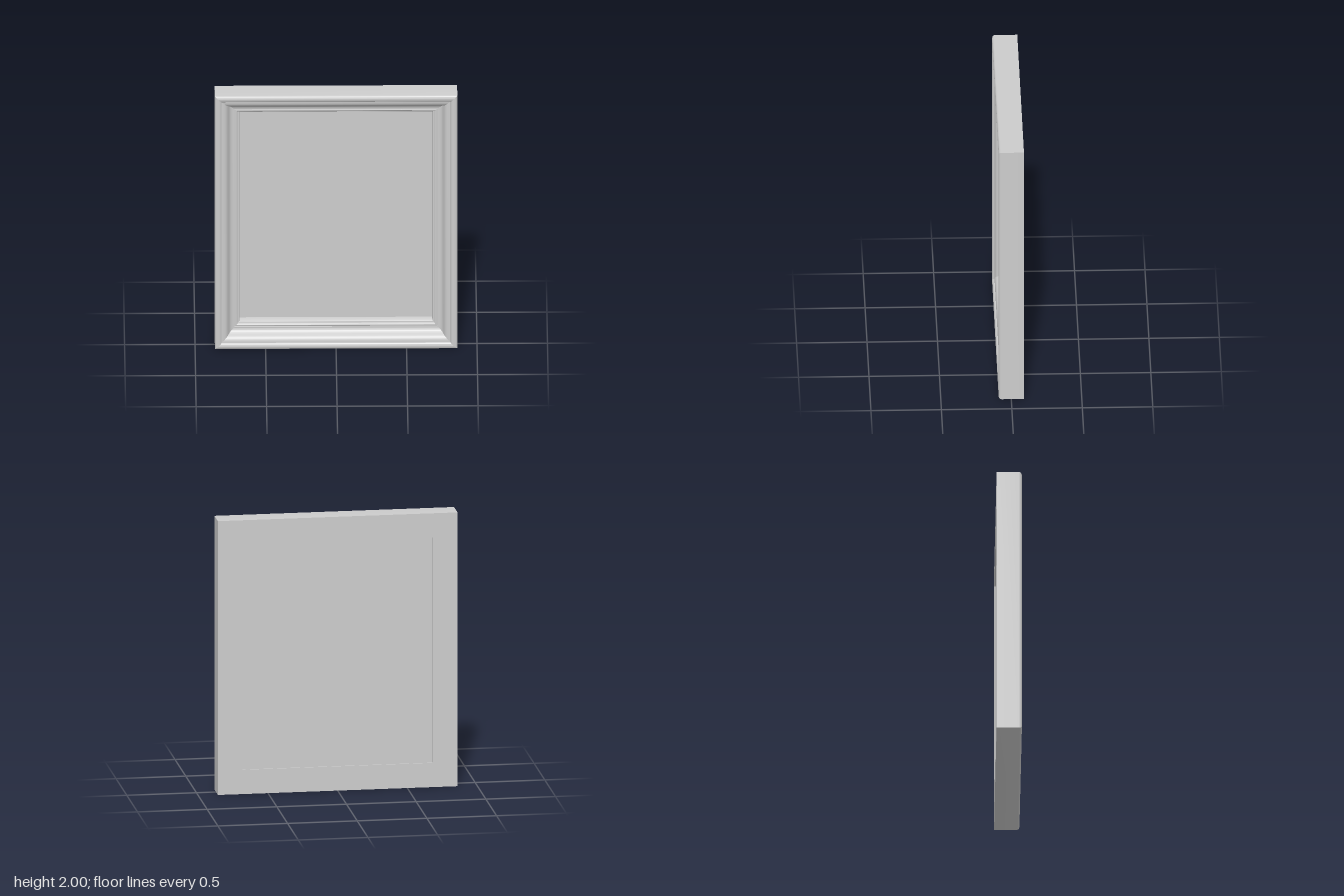
import * as THREE from 'three';
import { toCreasedNormals } from 'three/addons/utils/BufferGeometryUtils.js';

const HALF_W = 0.86, HALF_H = 1, DEPTH = 0.09;
const material = new THREE.MeshStandardMaterial({ color: 0xcccccc });

// Moulding cross-section as (inset from outer edge, z), front outer edge to inner edge, then round the back
function mouldingProfile() {
  const path = new THREE.Path();
  path.moveTo(0, -DEPTH);
  path.lineTo(0, 0.07);
  path.bezierCurveTo(0.001, 0.084, 0.01, DEPTH, 0.022, DEPTH);  // rounded outer bead
  path.bezierCurveTo(0.034, DEPTH, 0.044, 0.087, 0.047, 0.079);
  path.lineTo(0.047, 0.073);                                    // small step
  path.bezierCurveTo(0.085, 0.073, 0.09, 0.055, 0.1, 0.036);    // ogee slope
  path.bezierCurveTo(0.108, 0.018, 0.12, 0.01, 0.141, 0.01);
  path.lineTo(0.141, -0.004);                                   // step to inner lip
  path.bezierCurveTo(0.148, 0.003, 0.158, 0.002, 0.162, -0.008);
  path.lineTo(0.162, -0.018);
  path.bezierCurveTo(0.169, -0.016, 0.176, -0.02, 0.177, -0.028);
  path.lineTo(0.177, -DEPTH);
  path.lineTo(0, -DEPTH);
  return path.getPoints(8);
}

// One mitred rail swept between two neighbouring corners
function railGeometry(profile, a, b) {
  const at = ([sx, sy], p) => [sx * (HALF_W - p.x), HALF_H + sy * (HALF_H - p.x), p.y];
  const positions = [];
  for (let j = 0; j < profile.length - 1; j++) {
    const p = profile[j], q = profile[j + 1];
    const a0 = at(a, p), b0 = at(b, p), b1 = at(b, q), a1 = at(a, q);
    positions.push(...a0, ...b0, ...b1, ...a0, ...b1, ...a1);
  }
  const geometry = new THREE.BufferGeometry();
  geometry.setAttribute('position', new THREE.Float32BufferAttribute(positions, 3));
  return toCreasedNormals(geometry, 0.7);
}

export function createModel() {
  const model = new THREE.Group();
  model.name = 'pictureFrame';

  // Four moulding rails, counter-clockwise from the bottom
  const profile = mouldingProfile();
  const corners = [[-1, -1], [1, -1], [1, 1], [-1, 1]];
  const names = ['bottomRail', 'leftRail', 'topRail', 'rightRail'];
  names.forEach((name, i) => {
    const rail = new THREE.Mesh(railGeometry(profile, corners[i], corners[(i + 1) % 4]), material);
    rail.name = name;
    model.add(rail);
  });

  // Backing panel, slightly recessed from the back
  const panel = new THREE.Mesh(
    new THREE.BoxGeometry(2 * (HALF_W - 0.177), 2 * (HALF_H - 0.177), 0.006), material);
  panel.name = 'backPanel';
  panel.position.set(0, HALF_H, -0.077);
  model.add(panel);

  return model;
}
